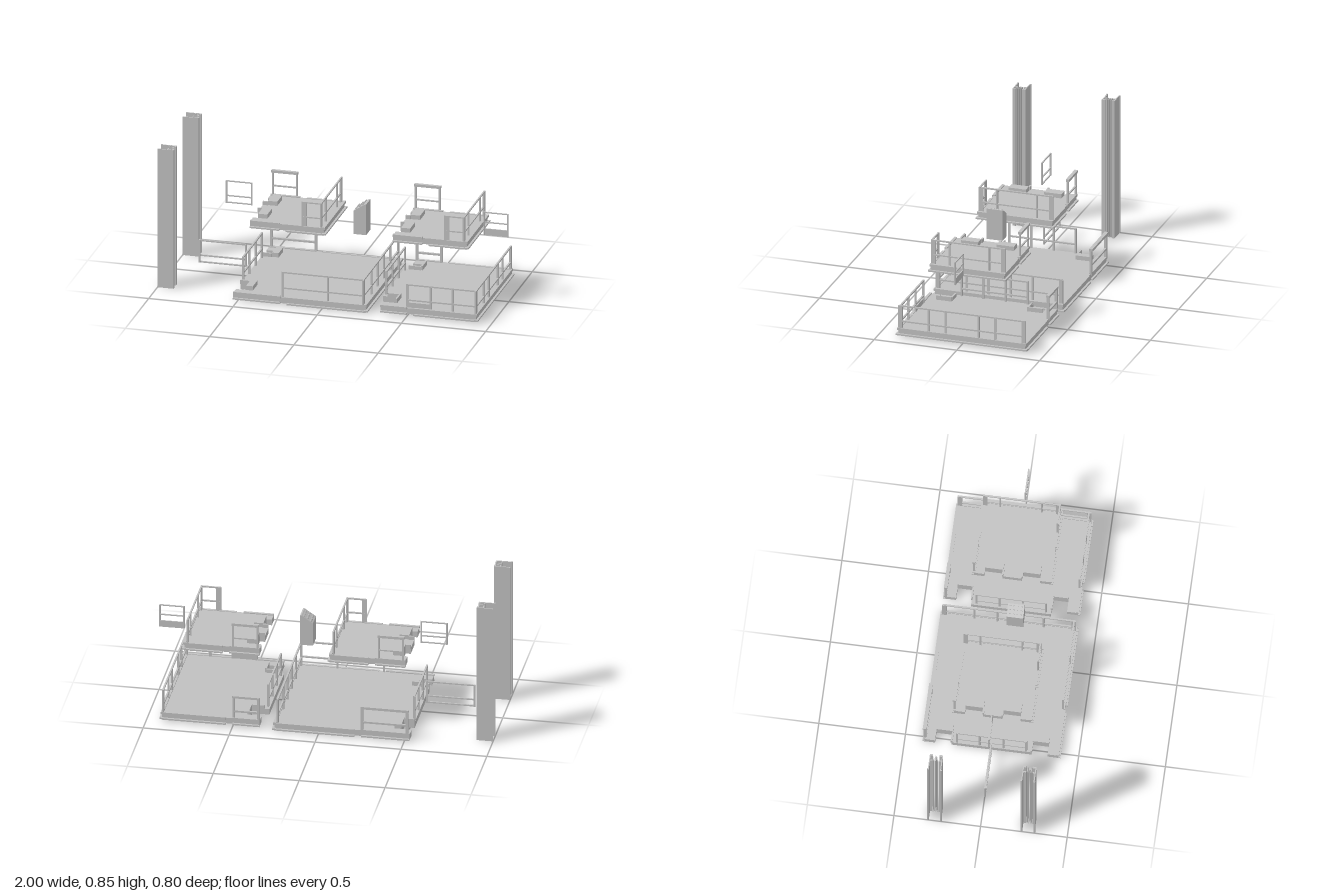
import * as THREE from 'three';

const steel = new THREE.MeshStandardMaterial({ color: 0xc0c0c0 });
steel.name = 'steelGrey';

// Box given by its min and max on each axis
function box(parent, name, x0, x1, y0, y1, z0, z1) {
  const m = new THREE.Mesh(new THREE.BoxGeometry(x1 - x0, y1 - y0, z1 - z0), steel);
  m.position.set((x0 + x1) / 2, (y0 + y1) / 2, (z0 + z1) / 2);
  m.name = name;
  parent.add(m);
  return m;
}

function group(parent, name) {
  const g = new THREE.Group();
  g.name = name;
  parent.add(g);
  return g;
}

// Straight railing along 'x' or 'z' at a fixed coordinate, with posts and horizontal bars
function fence(parent, name, axis, at, posts, y0, bars, t = 0.011) {
  const g = group(parent, name), h = t / 2;
  const put = (n, a, b, ya, yb, w = h) => axis === 'x'
    ? box(g, n, a, b, ya, yb, at - w, at + w)
    : box(g, n, at - w, at + w, ya, yb, a, b);
  const top = Math.max(...bars), a = Math.min(...posts), b = Math.max(...posts);
  posts.forEach(p => put('post', p - h, p + h, y0, top));
  bars.forEach(y => put('rail', a - h, b + h, y - t * 0.4, y + t * 0.4, h * 0.9));
}

// Deck slab with two column notches on its -x edge, edge flanges and notch covers
function deck(parent, o) {
  const { x0, x1, zh, y0, y1, n0, n1, nd, split, cover, inset = 0 } = o;
  const g = group(parent, 'deck'), xi = x0 + nd, s = new THREE.Shape();
  const pts = [[x0 + inset, -zh], [x1, -zh], [x1, zh], [x0 + inset, zh], [x0 + inset, n1], [xi, n1],
    [xi, n0], [x0, n0], [x0, -n0], [xi, -n0], [xi, -n1], [x0 + inset, -n1]];
  s.setFromPoints(pts.map(p => new THREE.Vector2(...p)));
  const geo = new THREE.ExtrudeGeometry(s, { depth: y1 - y0 - 0.004, bevelEnabled: false }).rotateX(-Math.PI / 2);
  const slab = new THREE.Mesh(geo, steel);
  slab.position.y = y0 + 0.002;
  slab.name = 'deckSlab';
  g.add(slab);
  // Lower and upper lips; side lips are made in two lengths
  for (const [ya, yb, out] of [[y0, y0 + 0.009, 0.013], [y1 - 0.01, y1 + 0.004, 0.006]]) {
    box(g, 'endLip', x1 - 0.01, x1 + out, ya, yb, -zh - out, zh + out);
    for (const k of [-1, 1]) {
      const e = [k * (zh - 0.01), k * (zh + out)].sort((p, q) => p - q);
      box(g, 'sideLip', x0 + inset, split, ya, yb, ...e);
      box(g, 'sideLip', split + 0.04, x1, ya - 0.003, yb - 0.003, ...e);
    }
  }
  // Covers round the notches
  for (const k of [-1, 1]) {
    const z = [k * n0, k * n1].sort((p, q) => p - q);
    box(g, 'notchCover', xi, cover, y1 - 0.005, y1 + 0.024, ...z);
    box(g, 'coverCheek', x0 + inset, xi, y1 - 0.005, y1 + 0.02, k * n0 - 0.005, k * n0 + 0.005);
  }
}

// Guide column: two facing channel strips with thin guide plates between
function column(parent, name, k, shift) {
  const g = group(parent, name);
  g.position.z = shift;
  const b = (n, x0, x1, z0, z1) => box(g, n, x0, x1, 0.003, 0.85, ...[k * z0, k * z1].sort((p, q) => p - q));
  b('outerWall', -1, -0.905, 0.305, 0.311);
  b('outerLip', -1, -0.994, 0.305, 0.315);
  b('outerFlange', -0.915, -0.905, 0.292, 0.311);
  b('outerRib', -0.945, -0.938, 0.292, 0.306);
  b('innerWall', -1, -0.905, 0.234, 0.240);
  b('innerLip', -1, -0.994, 0.230, 0.240);
  b('innerFlange', -0.915, -0.905, 0.234, 0.254);
  b('innerRib', -0.945, -0.938, 0.238, 0.256);
  for (const z of [0.285, 0.278, 0.270, 0.262]) b('guidePlate', -0.945, -0.912, z, z + 0.002);
}

function largePlatform(root) {
  const g = group(root, 'largePlatform');
  deck(g, { x0: -0.53, x1: 0.257, zh: 0.385, y0: 0.007, y1: 0.047, n0: 0.23, n1: 0.325, nd: 0.06, split: -0.25, cover: -0.43 });
  fence(g, 'frontRailing', 'x', 0.375, [-0.24, 0.03, 0.24], 0.045, [0.195, 0.1]);
  fence(g, 'sideRailing', 'z', 0.24, [-0.375, -0.2, -0.068, 0.068, 0.2, 0.375], 0.045, [0.195, 0.1]);
  fence(g, 'columnSideRailing', 'z', -0.522, [-0.2, -0.068, 0.068, 0.2], 0.045, [0.195, 0.1]);
  fence(g, 'backGuard', 'x', -0.385, [-0.515, -0.252], 0.045, [0.19, 0.1], 0.014);
  box(g, 'guardCap', -0.525, -0.245, 0.185, 0.2, -0.397, -0.375);
  for (const k of [-1, 1]) box(g, 'cornerPlate', 0.235, 0.245, 0.045, 0.195, k * 0.373 - 0.013, k * 0.373 + 0.013);
}

function mediumPlatform(root) {
  const g = group(root, 'mediumPlatform');
  deck(g, { x0: 0.315, x1: 0.912, zh: 0.383, y0: 0.016, y1: 0.055, n0: 0.23, n1: 0.32, nd: 0.1, split: 0.5, cover: 0.425, inset: 0.028 });
  fence(g, 'frontRailing', 'x', 0.372, [0.5, 0.64, 0.77, 0.907], 0.055, [0.193, 0.1]);
  fence(g, 'sideRailing', 'z', 0.907, [-0.38, -0.2, -0.1, 0.1, 0.2, 0.372], 0.055, [0.193, 0.1]);
  fence(g, 'columnSideRailing', 'z', 0.328, [-0.2, -0.068, 0.068, 0.2], 0.055, [0.193, 0.1]);
  fence(g, 'backGuard', 'x', -0.38, [0.35, 0.495], 0.055, [0.19, 0.1], 0.014);
  box(g, 'guardCap', 0.343, 0.502, 0.185, 0.198, -0.391, -0.37);
  box(g, 'lowKickPlate', 0.5, 0.64, 0.055, 0.085, 0.369, 0.375);
  for (const k of [-1, 1]) box(g, 'cornerPlate', 0.902, 0.912, 0.055, 0.195, k * 0.373 - 0.013, k * 0.373 + 0.013);
}

// Small upper platform, used twice
function upperPlatform(root, name, dx) {
  const g = group(root, name);
  g.position.x = dx;
  deck(g, { x0: -0.475, x1: -0.036, zh: 0.222, y0: 0.39, y1: 0.43, n0: 0.055, n1: 0.16, nd: 0.03, split: -0.3, cover: -0.39 });
  fence(g, 'frontRailing', 'x', 0.22, [-0.165, -0.055], 0.43, [0.575, 0.486], 0.01);
  fence(g, 'sideRailing', 'z', -0.055, [-0.22, -0.125, 0.115, 0.22], 0.43, [0.575, 0.486], 0.01);
  fence(g, 'backGuard', 'x', -0.222, [-0.462, -0.32], 0.43, [0.57, 0.486], 0.01);
  box(g, 'guardCap', -0.47, -0.313, 0.567, 0.582, -0.232, -0.212);
  box(g, 'postPlate', -0.168, -0.14, 0.43, 0.575, 0.216, 0.222);
  for (const k of [-1, 1]) box(g, 'cornerPlate', -0.06, -0.052, 0.43, 0.575, k * 0.21 - 0.012, k * 0.21 + 0.012);
}

// Control console with a sloping panel that faces -x
function controlConsole(root) {
  const g = group(root, 'controlConsole');
  const s = new THREE.Shape([[0.105, 0.363], [0.18, 0.363], [0.18, 0.55], [0.172, 0.55], [0.105, 0.505]]
    .map(p => new THREE.Vector2(...p)));
  const body = new THREE.Mesh(new THREE.ExtrudeGeometry(s, { depth: 0.096, bevelEnabled: false }), steel);
  body.position.z = 0.003;
  body.name = 'consoleBody';
  g.add(body);
  const tilt = Math.atan2(0.045, 0.067);
  for (let i = 0; i < 3; i++) for (let j = 0; j < 4; j++) {
    const t = 0.2 + i * 0.3;
    const b = new THREE.Mesh(new THREE.CylinderGeometry(0.006, 0.006, 0.01, 8), steel);
    b.position.set(0.105 + 0.067 * t, 0.506 + 0.045 * t, 0.018 + j * 0.022);
    b.rotation.z = tilt;
    b.name = 'button';
    g.add(b);
  }
}

export function createModel() {
  const root = new THREE.Group();
  root.name = 'platformSet';
  column(root, 'frontColumn', 1, 0);
  column(root, 'backColumn', -1, 0.006);
  largePlatform(root);
  mediumPlatform(root);
  upperPlatform(root, 'upperPlatformA', 0);
  upperPlatform(root, 'upperPlatformB', 0.848);
  controlConsole(root);
  // Free-standing gates
  fence(root, 'largeGate', 'x', 0.003, [-0.835, -0.56], 0.06, [0.195, 0.105, 0.065], 0.01);
  fence(root, 'smallGate', 'x', 0.003, [-0.675, -0.525], 0.44, [0.575, 0.486, 0.445], 0.008);
  fence(root, 'kickGate', 'x', 0.012, [0.857, 0.996], 0.402, [0.54, 0.48], 0.008);
  box(root, 'kickGatePlate', 0.853, 1, 0.402, 0.442, 0.009, 0.015);
  return root;
}
